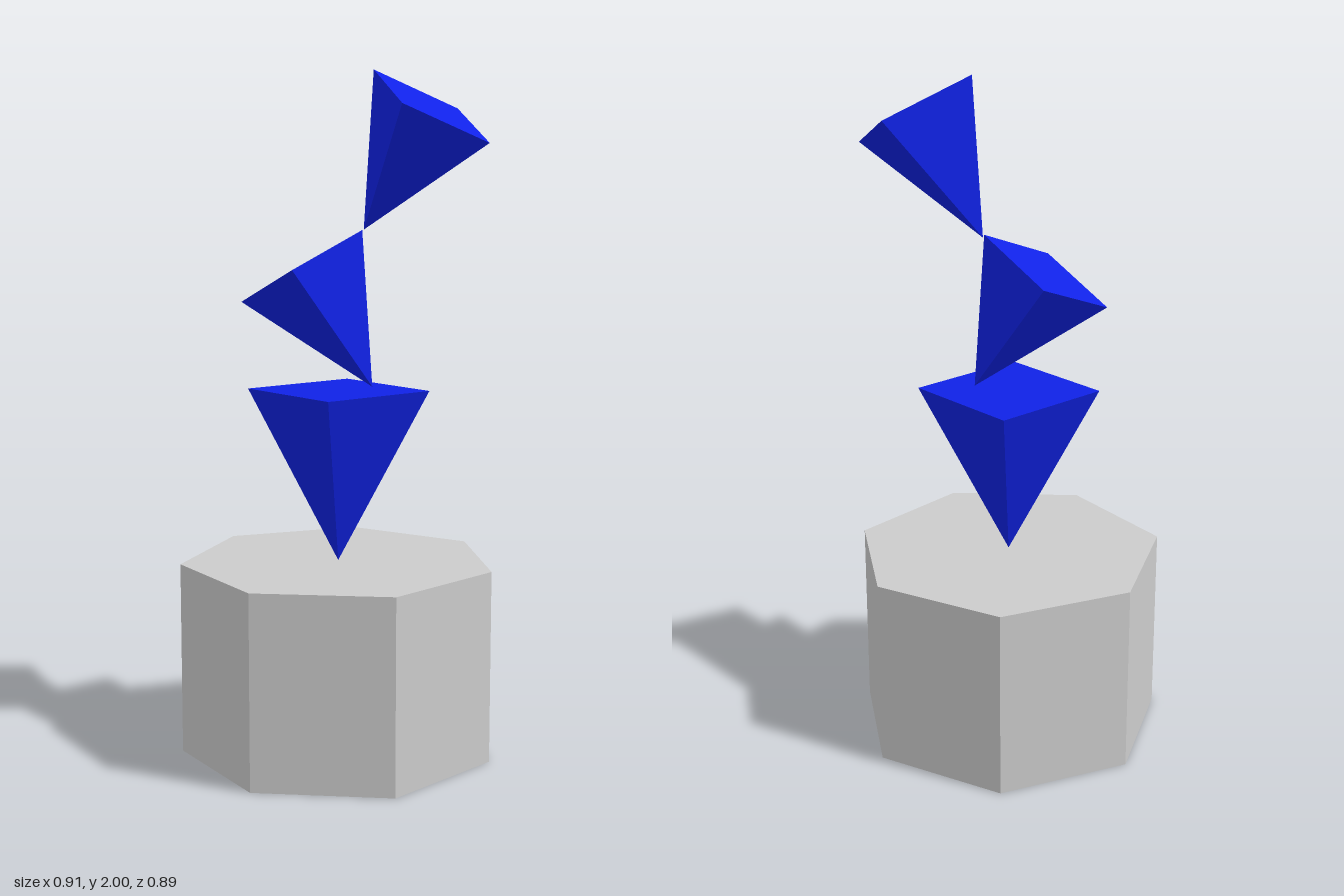
import * as THREE from 'three';

export function createModel() {
  const model = new THREE.Group();
  const grey = new THREE.MeshStandardMaterial({ color: 0xcccccc, flatShading: true });
  const blue = new THREE.MeshStandardMaterial({ color: 0x1022e6, flatShading: true });
  const centreZ = 0.022;
  const baseHeight = 0.57;

  // Seven-sided pedestal with one corner pointing to the back
  const pedestal = new THREE.Mesh(
    new THREE.CylinderGeometry(0.467, 0.467, baseHeight, 7, 1, false, Math.PI), grey);
  pedestal.name = 'pedestal';
  pedestal.position.set(0, baseHeight / 2, centreZ);
  model.add(pedestal);

  // Upside-down square pyramid, placed by its tip, leaned sideways and then turned
  function addPyramid(name, radius, height, tip, lean = 0, turn = 0) {
    const geometry = new THREE.ConeGeometry(radius, height, 4);
    geometry.rotateX(Math.PI).translate(0, height / 2, 0);
    const pyramid = new THREE.Mesh(geometry, blue);
    pyramid.name = name;
    pyramid.position.set(...tip);
    pyramid.rotation.set(0, turn, lean, 'YXZ');
    model.add(pyramid);
  }

  // Stack of balancing pyramids
  addPyramid('lowerPyramid', 0.267, 0.51, [0, baseHeight, centreZ]);
  addPyramid('middlePyramid', 0.206, 0.407, [0.1, 1.09, centreZ], 0.535);
  addPyramid('upperPyramid', 0.206, 0.407, [0.071, 1.545, -0.012], -0.535, -0.338);

  return model;
}
